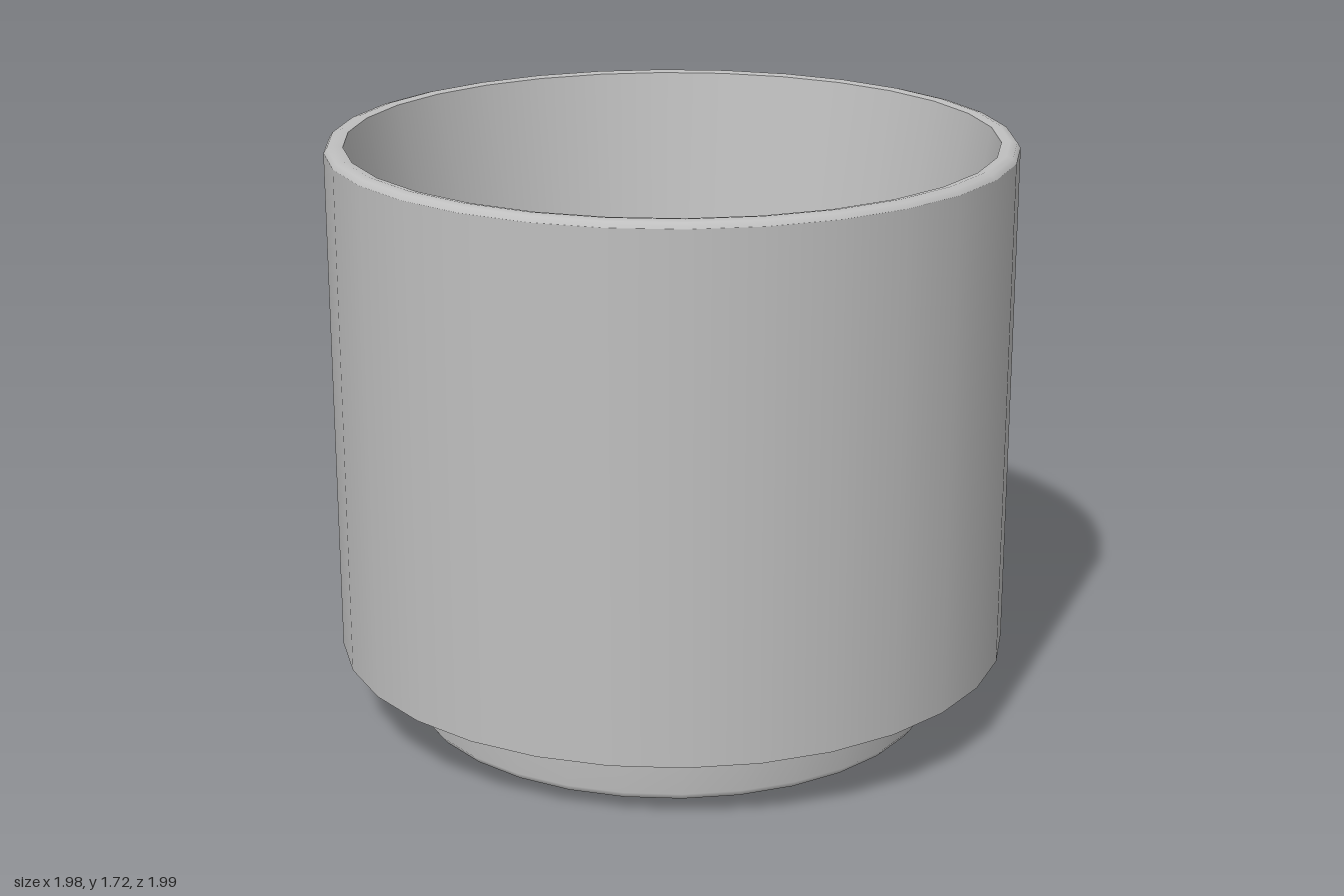
import * as THREE from 'three';

const SIDES = 30;

export function createModel() {
  const group = new THREE.Group();
  const grey = new THREE.MeshStandardMaterial({ color: 0xbfbfbf });
  grey.name = 'grey clay';

  // Each turned surface is its own lathe, so edges between them stay sharp
  const turn = (name, profile) => {
    const points = profile.map(([r, y]) => new THREE.Vector2(r, y));
    const mesh = new THREE.Mesh(new THREE.LatheGeometry(points, SIDES), grey);
    mesh.name = name;
    group.add(mesh);
  };

  // Foot ring
  turn('footUnderside', [[0, 0], [0.775, 0]]);
  turn('footSide', [[0.775, 0], [0.79, 0.02], [0.795, 0.2]]);

  // Pot body
  turn('bodyUnderside', [[0.795, 0.2], [0.995, 0.2]]);
  turn('outerWall', [[0.995, 0.2], [0.995, 1.7]]);
  turn('rim', [[0.995, 1.7], [0.985, 1.715], [0.965, 1.72], [0.94, 1.715]]);

  // Tapered hollow and its floor
  turn('innerWall', [[0.94, 1.715], [0.69, 0.2]]);
  turn('innerFloor', [[0.69, 0.2], [0, 0.2]]);

  return group;
}
